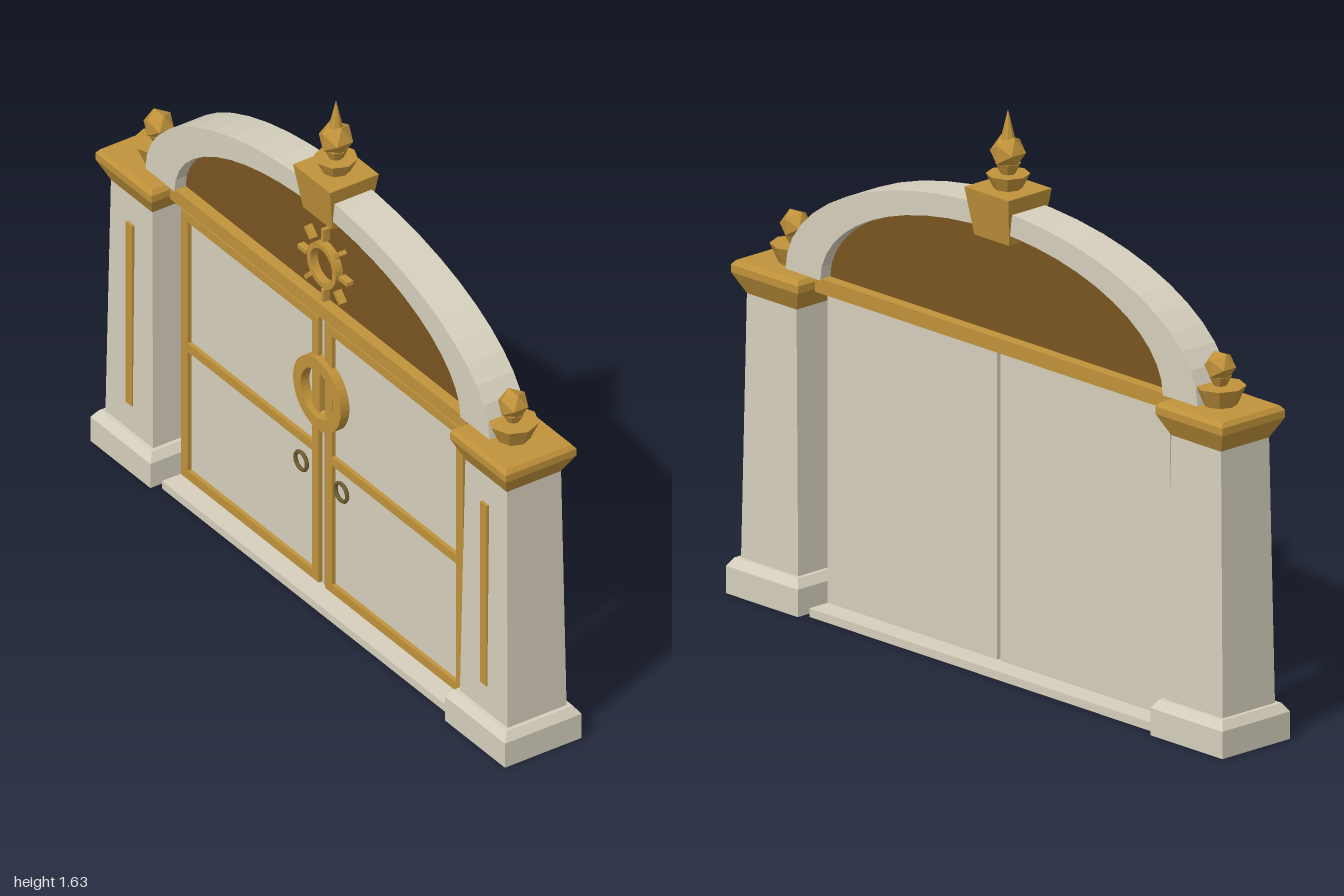
import * as THREE from 'three';

const material = (color, extra = {}) => new THREE.MeshStandardMaterial({ color, flatShading: true, ...extra });
const stone = material(0xd6cfbd);
const gold = material(0xc0923a);
const wood = material(0x7a5520);
const bronze = material(0x6b5b2e);

function add(parent, name, geometry, mat, x = 0, y = 0, z = 0) {
  const mesh = new THREE.Mesh(geometry, mat);
  mesh.name = name;
  mesh.position.set(x, y, z);
  parent.add(mesh);
  return mesh;
}

// Box given by its x, y and z ranges
function slab(parent, name, mat, x0, x1, y0, y1, z0, z1) {
  return add(parent, name, new THREE.BoxGeometry(x1 - x0, y1 - y0, z1 - z0), mat,
    (x0 + x1) / 2, (y0 + y1) / 2, (z0 + z1) / 2);
}

// Four-sided block that tapers from a bottom to a top rectangle
function taper(parent, name, mat, y0, y1, [w0, d0], [w1, d1]) {
  const geometry = new THREE.BoxGeometry(1, y1 - y0, 1);
  const p = geometry.attributes.position;
  for (let i = 0; i < p.count; i++) {
    const top = p.getY(i) > 0;
    p.setX(i, p.getX(i) * (top ? w1 : w0));
    p.setZ(i, p.getZ(i) * (top ? d1 : d0));
  }
  geometry.computeVertexNormals();
  return add(parent, name, geometry, mat, 0, (y0 + y1) / 2, 0);
}

// Points of a half ellipse, from right to left
function halfEllipse(a, b, y, steps = 24) {
  return Array.from({ length: steps + 1 }, (_, i) => {
    const t = (i / steps) * Math.PI;
    return new THREE.Vector2(a * Math.cos(t), y + b * Math.sin(t));
  });
}

function extrude(shape, depth) {
  return new THREE.ExtrudeGeometry(shape, { depth, bevelEnabled: false, curveSegments: 16 })
    .translate(0, 0, -depth / 2);
}

function flatRing(outer, inner, depth) {
  const shape = new THREE.Shape().absarc(0, 0, outer, 0, Math.PI * 2);
  shape.holes.push(new THREE.Path().absarc(0, 0, inner, 0, Math.PI * 2, true));
  return extrude(shape, depth);
}

// Flared cup, neck and faceted ball; the top one also gets a spike
function finial(y, cup, cupHeight, ball, ballY, spikeTop = 0) {
  const g = new THREE.Group();
  g.name = 'finial';
  add(g, 'finialCup', new THREE.CylinderGeometry(cup, cup * 0.66, cupHeight, 8), gold, 0, y + cupHeight / 2);
  const neckBase = y + cupHeight, neckTop = ballY - ball * 0.6;
  add(g, 'finialNeck', new THREE.CylinderGeometry(ball * 0.7, ball * 0.4, neckTop - neckBase, 8), gold,
    0, (neckBase + neckTop) / 2);
  add(g, 'finialBall', new THREE.IcosahedronGeometry(ball, 0), gold, 0, ballY);
  if (spikeTop) {
    const base = ballY + ball * 0.6;
    add(g, 'finialSpike', new THREE.ConeGeometry(0.022, spikeTop - base, 8), gold, 0, (base + spikeTop) / 2);
  }
  return g;
}

function createPost() {
  const g = new THREE.Group();
  g.name = 'gatePost';
  slab(g, 'plinth', stone, -0.145, 0.145, 0, 0.08, -0.13, 0.13);
  taper(g, 'plinthBevel', stone, 0.08, 0.105, [0.29, 0.26], [0.255, 0.225]);
  taper(g, 'shaft', stone, 0.105, 0.88, [0.23, 0.2], [0.2, 0.184]);
  taper(g, 'capitalFlare', gold, 0.88, 0.94, [0.2, 0.184], [0.27, 0.24]);
  slab(g, 'capitalSlab', gold, -0.135, 0.135, 0.94, 0.962, -0.12, 0.12);
  taper(g, 'capitalBevel', gold, 0.962, 0.975, [0.27, 0.24], [0.25, 0.22]);
  slab(g, 'inlay', gold, -0.016, 0.016, 0.19, 0.79, 0.085, 0.102);
  g.add(finial(0.975, 0.073, 0.055, 0.046, 1.085));
  return g;
}

function createDoor(side) {
  const g = new THREE.Group();
  g.name = side > 0 ? 'leftDoor' : 'rightDoor';
  const part = (name, mat, a, b, y0, y1, z0, z1) =>
    slab(g, name, mat, Math.min(a * side, b * side), Math.max(a * side, b * side), y0, y1, z0, z1);
  part('doorPanel', stone, 0.007, 0.69, 0.025, 0.925, -0.035, 0.035);
  // Gold frame on the front only
  part('innerStile', gold, 0.016, 0.048, 0.032, 0.917, 0.03, 0.048);
  part('outerStile', gold, 0.648, 0.68, 0.032, 0.917, 0.03, 0.048);
  for (const y of [0.032, 0.457, 0.889]) part('rail', gold, 0.048, 0.648, y, y + 0.028, 0.03, 0.048);
  add(g, 'ringHandle', new THREE.TorusGeometry(0.028, 0.006, 6, 16), bronze, 0.097 * side, 0.395, 0.05);
  return g;
}

export function createModel() {
  const model = new THREE.Group();
  model.name = 'gate';

  for (const side of [-1, 1]) {
    const post = createPost();
    post.position.x = side * 0.855;
    model.add(post, createDoor(side));
  }
  slab(model, 'threshold', stone, -0.69, 0.69, 0, 0.025, -0.105, 0.105);
  slab(model, 'lintel', gold, -0.715, 0.715, 0.935, 0.978, -0.06, 0.06);

  // Elliptical arch and the recessed panel under it
  const outer = halfEllipse(0.83, 0.382, 0.974);
  const inner = halfEllipse(0.69, 0.318, 0.974);
  add(model, 'arch', extrude(new THREE.Shape([...outer, ...[...inner].reverse()]), 0.126), stone);
  add(model, 'archPanel', extrude(new THREE.Shape(inner), 0.05), wood);

  // Sun ornament
  const sun = new THREE.Group();
  sun.name = 'sunOrnament';
  sun.position.set(0, 1.097, 0.035);
  add(sun, 'sunRing', flatRing(0.07, 0.053, 0.03), gold);
  for (let i = 0; i < 8; i++) {
    const a = (i * Math.PI) / 4;
    add(sun, 'sunRay', new THREE.BoxGeometry(0.04, 0.013, 0.024), gold,
      0.1 * Math.cos(a), 0.1 * Math.sin(a)).rotation.z = a;
  }
  model.add(sun);

  // Round emblem across both doors
  add(model, 'doorEmblem', flatRing(0.115, 0.078, 0.03), gold, 0, 0.675, 0.05);
  slab(model, 'emblemBar', gold, -0.02, -0.002, 0.61, 0.74, 0.03, 0.055);

  // Keystone with the tall finial
  taper(model, 'keystone', gold, 1.26, 1.4, [0.14, 0.125], [0.178, 0.166]);
  model.add(finial(1.4, 0.062, 0.042, 0.052, 1.505, 1.63));
  return model;
}
